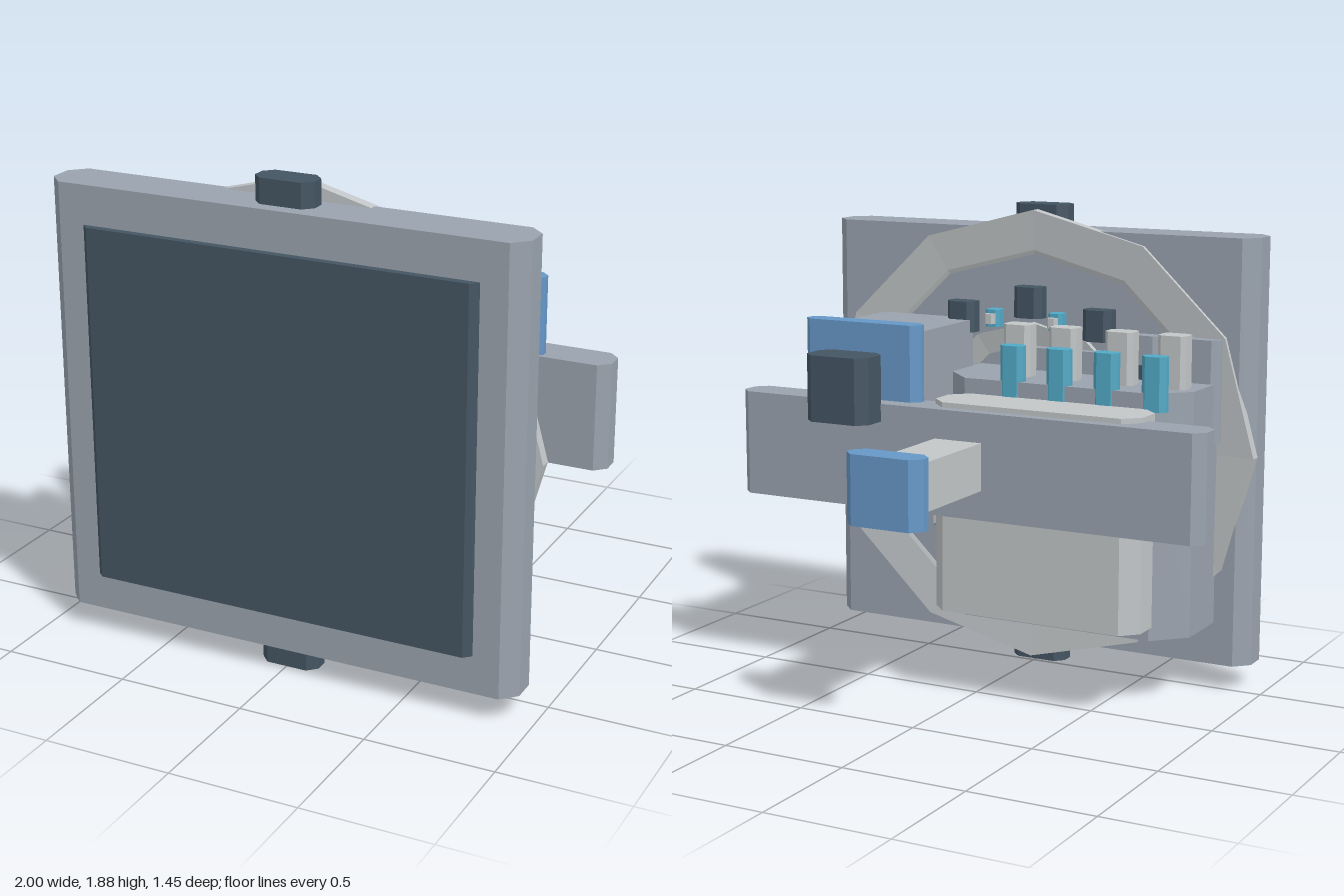
import * as THREE from 'three';

const mat = (name, color) => {
  const m = new THREE.MeshStandardMaterial({ color });
  m.name = name;
  return m;
};

export function createModel() {
  const gray = mat('hull gray', 0x9aa3ae);
  const dark = mat('dark slate', 0x445563);
  const pale = mat('pale gray', 0xc2c6c8);
  const blue = mat('blue', 0x6698c8);
  const cyan = mat('cyan', 0x52aac6);

  const model = new THREE.Group();
  model.name = 'panelMachine';

  const add = (name, geometry, material, parent = model) => {
    const mesh = new THREE.Mesh(geometry, material);
    mesh.name = name;
    parent.add(mesh);
    return mesh;
  };

  const group = (name) => {
    const g = new THREE.Group();
    g.name = name;
    model.add(g);
    return g;
  };

  // Block between two corners, its four vertical edges cut by c
  const block = (name, material, [x0, x1], [y0, y1], [z0, z1], c, parent) => {
    const s = new THREE.Shape([
      [x0 + c, -z1], [x1 - c, -z1], [x1, -z1 + c], [x1, -z0 - c],
      [x1 - c, -z0], [x0 + c, -z0], [x0, -z0 - c], [x0, -z1 + c],
    ].map(([x, y]) => new THREE.Vector2(x, y)));
    const g = new THREE.ExtrudeGeometry(s, { depth: y1 - y0, bevelEnabled: false });
    g.rotateX(-Math.PI / 2).translate(0, y0, 0);
    return add(name, g, material, parent);
  };
  const around = (c, size) => [c - size / 2, c + size / 2];

  // Twelve-sided ring facing z, from a closed (radius, z) profile
  const ring = (name, profile) => {
    const pts = [...profile, profile[0]].map(([r, z]) => new THREE.Vector2(r, z));
    const g = new THREE.LatheGeometry(pts, 12).toNonIndexed();
    g.rotateX(Math.PI / 2).scale(1.04, 1, 1).translate(0, 0.945, 0);
    g.computeVertexNormals();
    return add(name, g, pale);
  };

  // Front panel with screen and the tabs at its top and bottom
  block('frontPanel', gray, [-0.94, 0.94], [0.1, 1.79], [0.49, 0.695], 0.057);
  block('screen', dark, [-0.78, 0.78], [0.25, 1.64], [0.62, 0.725], 0.027);
  block('topTab', dark, [-0.117, 0.117], [1.7, 1.885], [0.52, 0.64], 0.035);
  block('bottomTab', dark, [-0.117, 0.117], [0, 0.19], [0.52, 0.64], 0.035);

  // Rings on the back of the panel
  ring('outerRing', [[0.92, 0.473], [0.92, 0.517], [0.72, 0.517], [0.72, 0.497], [0.76, 0.485]]);
  ring('innerRing', [[0.47, 0.465], [0.47, 0.5], [0.38, 0.5], [0.38, 0.48]]);

  // Circle of knobs and, between them, small lamps
  const knobs = group('knobs');
  const lamps = group('lamps');
  for (let i = 0; i < 12; i++) {
    const a = (i * Math.PI) / 6;
    block('knob', dark, around(0.61 * Math.cos(a), 0.125),
      around(0.945 + 0.555 * Math.sin(a), 0.125), [0.41, 0.5], 0.025, knobs);
    const b = a + Math.PI / 12;
    const x = 0.54 * Math.cos(b), y = 0.945 + 0.505 * Math.sin(b);
    block('lampBase', cyan, around(x, 0.06), around(y, 0.07), [0.385, 0.45], 0.012, lamps);
    block('lampTip', pale, around(x, 0.04), around(y, 0.04), [0.358, 0.39], 0.008, lamps);
  }

  // Stepped housing behind the panel
  block('mainHousing', gray, [-0.8, 0.24], [0.27, 1.23], [0.127, 0.62], 0.12);
  block('rearHousing', pale, [-0.72, 0.157], [0.345, 1.17], [-0.102, 0.127], 0.063);

  // Rows of posts standing on the housing
  const posts = group('posts');
  [-0.7, -0.48, -0.24, -0.04].forEach((x) =>
    block('palePost', pale, around(x, 0.117), [1.1, 1.435], [0.245, 0.333], 0.018, posts));
  [-0.68, -0.48, -0.28, -0.08].forEach((x) =>
    block('cyanPost', cyan, around(x, 0.1), [1.16, 1.37], [0.122, 0.185], 0.02, posts));

  // Gray boxes beside the posts
  const boxes = group('sideBoxes');
  [[-0.72, 0.2], [-0.485, 0.18], [-0.26, 0.18], [-0.06, 0.17]].forEach(([x, w], i) =>
    block('sideBox', gray, around(x, w), [1.0, i < 2 ? 1.4 : 1.32], [0.43, 0.5], 0.03, boxes));

  // Cross bar with the arm and its end cap
  block('crossBar', gray, [-1, 1], [0.735, 1.15], [-0.147, 0.005], 0.042);
  add('arm', new THREE.BoxGeometry(0.2, 0.185, 0.5).translate(0, 0.943, -0.37), pale);
  block('armCap', blue, [-0.16, 0.16], [0.81, 1.075], [-0.728, -0.612], 0.04);

  // Side box with its blue plate and dark block
  block('sideHousing', gray, [0.257, 0.695], [1.0, 1.415], [0.01, 0.48], 0.032);
  block('sidePlate', blue, [0.22, 0.74], [0.965, 1.45], [-0.073, 0.014], 0.032);
  block('sideBlock', dark, [0.34, 0.617], [1.08, 1.34], [-0.276, -0.104], 0.04);

  return model;
}
